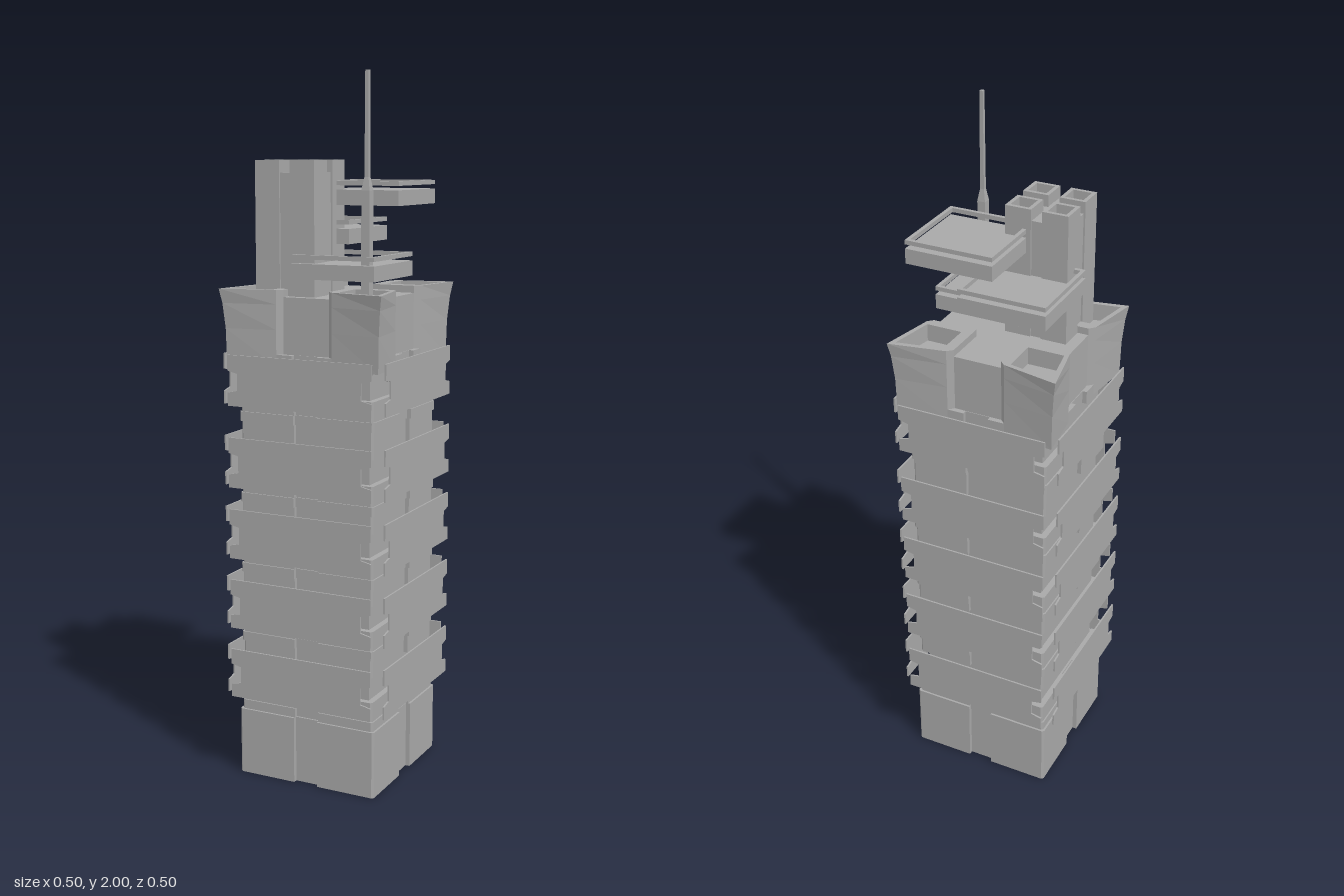
import * as THREE from 'three';

export function createModel() {
  const root = new THREE.Group();
  const grey = new THREE.MeshStandardMaterial({ color: 0xa8a8a8, flatShading: true, side: THREE.DoubleSide });
  grey.name = 'concrete grey';

  const add = (name, geo, parent = root) => {
    const mesh = new THREE.Mesh(geo, grey);
    mesh.name = name;
    parent.add(mesh);
    return mesh;
  };
  // box given by its limits
  const box = (name, x0, x1, y0, y1, z0, z1, parent) =>
    add(name, new THREE.BoxGeometry(x1 - x0, y1 - y0, z1 - z0)
      .translate((x0 + x1) / 2, (y0 + y1) / 2, (z0 + z1) / 2), parent);
  const shapeOf = pts => new THREE.Shape(pts.map(p => new THREE.Vector2(...p)));
  // plan shape (x, z) raised from y0 to y1
  const raise = (shape, y0, y1) =>
    new THREE.ExtrudeGeometry(shape, { depth: y1 - y0, bevelEnabled: false })
      .rotateX(Math.PI / 2).translate(0, y1, 0);
  const rect = (x0, x1, z0, z1) => [[x0, z0], [x1, z0], [x1, z1], [x0, z1]];
  const frame = (x0, x1, z0, z1, t) => {
    const s = shapeOf(rect(x0, x1, z0, z1));
    s.holes.push(new THREE.Path(rect(x0 + t, x1 - t, z0 + t, z1 - t).map(p => new THREE.Vector2(...p))));
    return s;
  };
  // square plan with chamfered corners and a groove down each side
  const grooved = (h, depth) => {
    const g = 0.037, c = 0.006, pts = [];
    for (let i = 0; i < 4; i++) {
      const cs = Math.round(Math.cos(i * Math.PI / 2)), sn = Math.round(Math.sin(i * Math.PI / 2));
      for (const [x, z] of [[h, -h + c], [h, -g], [h - depth, -g], [h - depth, g], [h, g], [h, h - c]])
        pts.push([x * cs - z * sn, x * sn + z * cs]);
    }
    return shapeOf(pts);
  };

  // Tower body
  add('base', raise(grooved(0.215, 0.013), 0, 0.195));
  box('core', -0.187, 0.187, 0.19, 1.25, -0.187, 0.187);

  // Storeys: recessed neck, slab and four stand-off panels with notched ends
  const bandH = 0.143, w = 0.221, n = 0.19;
  const side = [[w, 0], [w, 0.037], [n, 0.044], [n, 0.092], [w, 0.099], [w, bandH]];
  const panelShape = shapeOf([...side, ...side.map(([x, y]) => [-x, y]).reverse()]);
  const panelGeo = new THREE.ExtrudeGeometry(panelShape, { depth: 0.005, bevelEnabled: false });
  [0.243, 0.45, 0.656, 0.862, 1.095].forEach((y, i, all) => {
    const storey = new THREE.Group();
    storey.name = 'storey' + (i + 1);
    root.add(storey);
    const below = i ? all[i - 1] + bandH - 0.035 : 0.195;
    add('neck', raise(grooved(0.205, 0.012), below, y + 0.035), storey);
    add('slab', raise(grooved(0.209, 0.012), y - 0.048, y - 0.021), storey);
    for (let k = 0; k < 4; k++) {
      const pivot = new THREE.Group();
      pivot.name = 'panelSide';
      pivot.rotation.y = k * Math.PI / 2;
      storey.add(pivot);
      add('panel', panelGeo, pivot).position.set(0, y, 0.2455);
    }
  });
  add('upperNeck', raise(grooved(0.215, 0.013), 1.205, 1.242));

  // Crown: cross-shaped roof with four flared corner bastions
  box('roofAcross', -0.2, 0.2, 1.24, 1.4, -0.08, 0.08);
  box('roofAlong', -0.08, 0.08, 1.24, 1.4, -0.2, 0.2);

  const outer = c => [[c, c], [0.215, 0.085], [0.2, 0.07], [0.07, 0.07], [0.07, 0.2], [0.085, 0.215]];
  const pocket = [[0.229, 0.229], [0.205, 0.1], [0.19, 0.1], [0.1, 0.1], [0.1, 0.19], [0.1, 0.205]];
  // loft from the underside, up the outside, over the rim and into the pocket
  const rings = [[1.21, outer(0.232)], [1.31, outer(0.234)], [1.38, outer(0.24)],
    [1.42, outer(0.247)], [1.42, pocket], [1.37, pocket]];
  const pos = [], idx = [], m = 6;
  rings.forEach(([y, pts]) => pts.forEach(([x, z]) => pos.push(x, y, z)));
  for (let r = 0; r < rings.length - 1; r++)
    for (let i = 0; i < m; i++) {
      const a = r * m + i, b = r * m + (i + 1) % m;
      idx.push(a, a + m, b, b, a + m, b + m);
    }
  const last = (rings.length - 1) * m;
  // caps fan out from the inner corner
  for (const k of [4, 5, 0, 1]) {
    const j = (k + 1) % m;
    idx.push(3, k, j, last + 3, last + j, last + k);
  }
  const corner = new THREE.BufferGeometry();
  corner.setAttribute('position', new THREE.Float32BufferAttribute(pos, 3));
  corner.setIndex(idx);
  const cornerGeo = corner.toNonIndexed();
  cornerGeo.computeVertexNormals();
  for (let k = 0; k < 4; k++) add('crownCorner', cornerGeo).rotation.y = k * Math.PI / 2;

  // Cluster of four hollow shafts around a core
  const shafts = new THREE.Group();
  shafts.name = 'shafts';
  root.add(shafts);
  box('shaftCore', -0.163, 0.009, 1.39, 1.735, -0.002, 0.172, shafts);
  for (const x of [-0.168, -0.061])
    for (const z of [-0.007, 0.101]) {
      add('shaftRim', raise(frame(x, x + 0.075, z, z + 0.076, 0.011), 1.735, 1.768), shafts);
      box('shaft', x, x + 0.075, 1.39, 1.737, z, z + 0.076, shafts);
    }

  // Three cantilevered platforms, each with a raised rail frame
  for (const [x, y, z] of [[-0.048, 1.645, -0.206], [-0.198, 1.538, -0.206], [-0.05, 1.45, -0.056]]) {
    const p = new THREE.Group();
    p.name = 'platform';
    root.add(p);
    const s = 0.251;
    box('deck', x, x + s, y, y + 0.042, z, z + s, p);
    add('rail', raise(frame(x, x + s, z, z + s, 0.011), y + 0.054, y + 0.066), p);
  }

  // Antenna mast
  const mast = (name, r0, r1, y0, y1) =>
    add(name, new THREE.CylinderGeometry(r1 * Math.SQRT2, r0 * Math.SQRT2, y1 - y0, 4)
      .rotateY(Math.PI / 4).translate(0.166, (y0 + y1) / 2, 0.164));
  mast('antennaBase', 0.012, 0.012, 1.39, 1.69);
  mast('antennaTaper', 0.012, 0.006, 1.69, 1.725);
  mast('antennaRod', 0.006, 0.005, 1.725, 2.0);

  return root;
}
